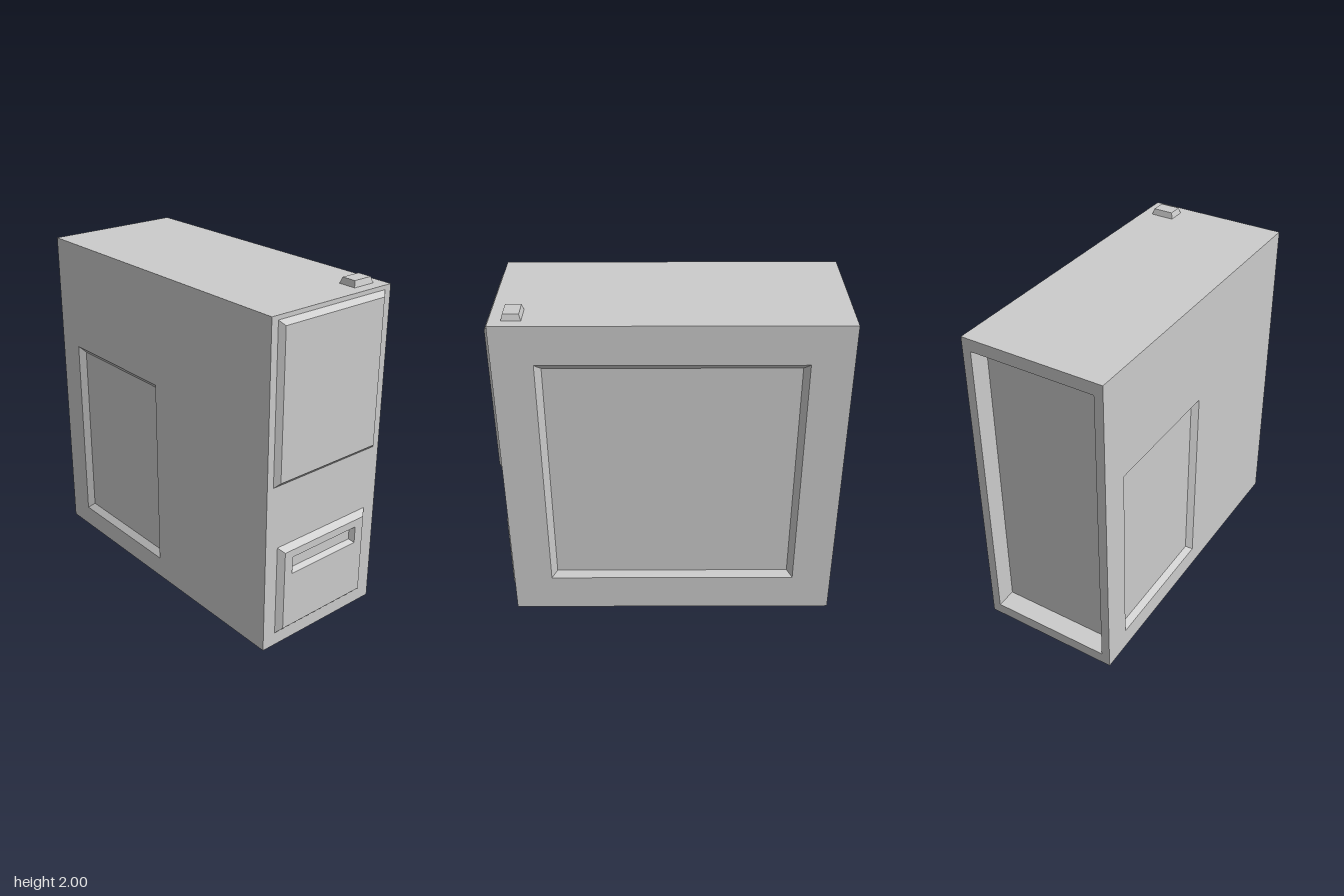
import * as THREE from 'three';

const material = new THREE.MeshStandardMaterial({ color: 0xcccccc, flatShading: true });

// Corners of a rectangle [x0, x1, y0, y1], counter-clockwise
const corners = ([x0, x1, y0, y1]) => [[x0, y0], [x1, y0], [x1, y1], [x0, y1]];

// Flat rectangle at height z with the panels' outlines cut out, then the panels themselves
function plate(name, rect, z, panels = []) {
  const group = new THREE.Group();
  group.name = name;
  const toPoints = r => corners(r).map(([x, y]) => new THREE.Vector2(x, y));
  const shape = new THREE.Shape(toPoints(rect));
  for (const p of panels) shape.holes.push(new THREE.Path(toPoints(p.rect).reverse()));
  const face = new THREE.Mesh(new THREE.ShapeGeometry(shape).translate(0, 0, z), material);
  face.name = name + 'Face';
  group.add(face);
  for (const p of panels) group.add(panel(p, z));
  return group;
}

// Raised (height > 0) or sunken (height < 0) panel: four sloped sides and an end plate
function panel({ name, rect, inset, height, panels }, z) {
  const [x0, x1, y0, y1] = rect;
  const inner = [x0 + inset, x1 - inset, y0 + inset, y1 - inset];
  const a = corners(rect).map(c => [...c, z]);
  const b = corners(inner).map(c => [...c, z + height]);
  const positions = [];
  for (let i = 0; i < 4; i++) {
    const j = (i + 1) % 4;
    positions.push(...a[i], ...a[j], ...b[j], ...a[i], ...b[j], ...b[i]);
  }
  const geometry = new THREE.BufferGeometry();
  geometry.setAttribute('position', new THREE.Float32BufferAttribute(positions, 3));
  geometry.computeVertexNormals();
  const rim = new THREE.Mesh(geometry, material);
  rim.name = name + 'Rim';
  const group = plate(name, inner, z + height, panels);
  group.add(rim);
  return group;
}

export function createModel() {
  const model = new THREE.Group();
  model.name = 'computerTower';
  const W = 0.425, H = 1.965, front = 0.96, back = -0.99;

  // Each wall is drawn in its own plane, facing +z, then turned into place
  const addWall = (wall, rx, ry) => {
    wall.rotation.set(rx, ry, 0);
    model.add(wall);
  };

  // Front: raised drive cover above, raised lower cover with a slot
  addWall(plate('frontWall', [-W, W, 0, H], front, [
    { name: 'driveCover', rect: [-0.382, 0.382, 1.02, 1.94], inset: 0.028, height: 0.026 },
    {
      name: 'lowerCover', rect: [-0.34, 0.34, 0.08, 0.64], inset: 0.033, height: 0.03,
      panels: [{ name: 'slot', rect: [-0.25, 0.245, 0.455, 0.56], inset: 0.018, height: -0.03 }],
    },
  ]), 0, 0);

  // Left side (+x): large sunken panel; local x runs along -z
  addWall(plate('leftWall', [-front, -back, 0, H], W, [
    { name: 'largeSidePanel', rect: [-0.73, 0.755, 0.238, 1.732], inset: 0.035, height: -0.032 },
  ]), 0, Math.PI / 2);

  // Right side (-x): small sunken panel low at the back; local x runs along +z
  addWall(plate('rightWall', [back, front, 0, H], W, [
    { name: 'smallSidePanel', rect: [-0.815, 0, 0.13, 1.3], inset: 0.035, height: -0.032 },
  ]), 0, -Math.PI / 2);

  // Back: deep straight-sided recess
  addWall(plate('backWall', [-W, W, 0, H], -back, [
    { name: 'backRecess', rect: [-0.372, 0.372, 0.07, 1.892], inset: 0, height: -0.122 },
  ]), 0, Math.PI);

  // Top with the power button; local y runs along -z
  addWall(plate('topWall', [-W, W, -front, -back], H, [
    { name: 'powerButton', rect: [0.22, 0.362, -0.893, -0.785], inset: 0.01, height: 0.035 },
  ]), -Math.PI / 2, 0);

  // Underside; local y runs along +z
  addWall(plate('bottomWall', [-W, W, back, front], 0), Math.PI / 2, 0);

  return model;
}
